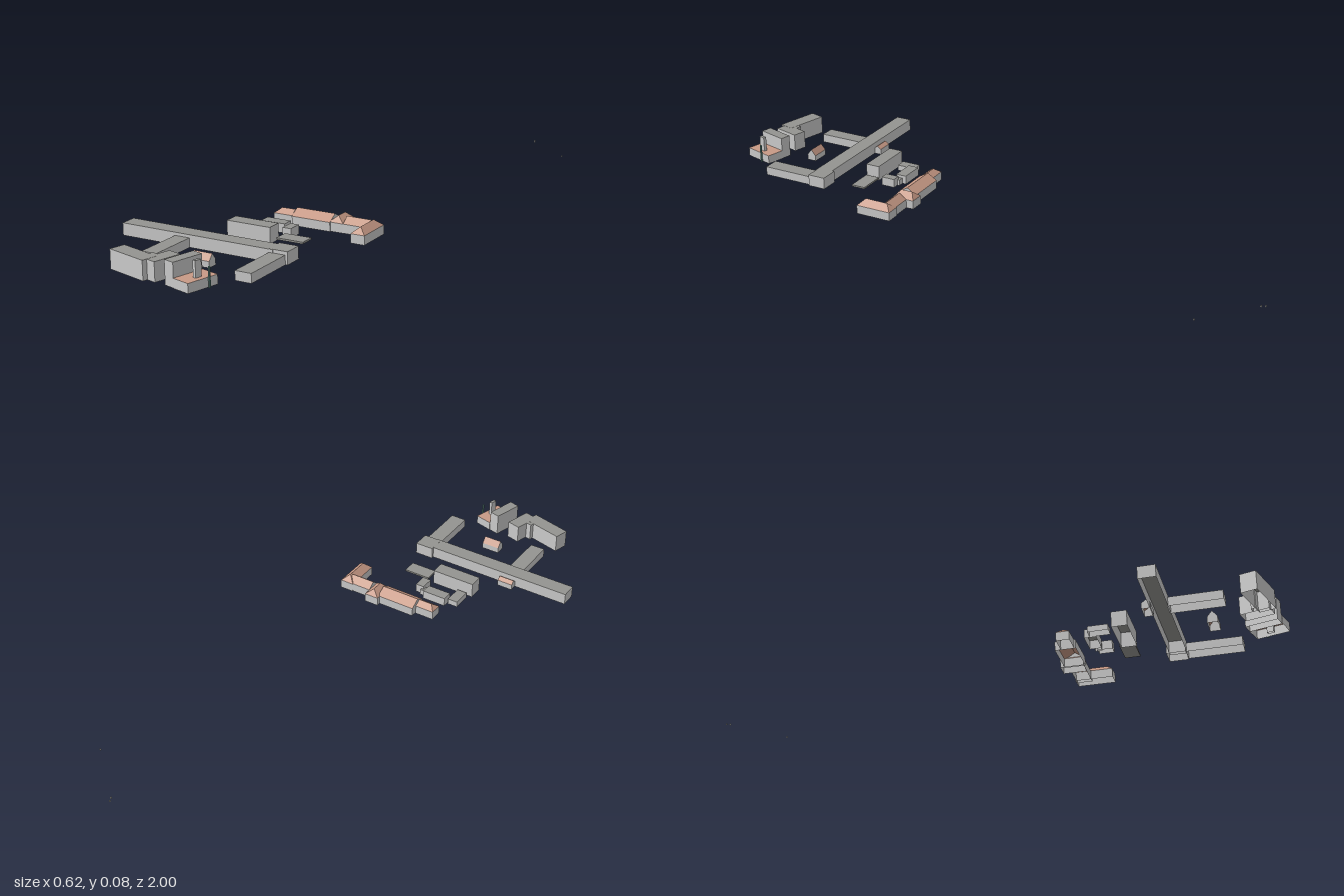
import * as THREE from 'three';

const mat = (color) => new THREE.MeshStandardMaterial({ color, flatShading: true, side: THREE.DoubleSide });
const WALL = mat(0xcccccc), FLAT = mat(0x949490), TILE = mat(0xc89a86), METAL = mat(0x6fa095);
const TURN = THREE.MathUtils.degToRad(15); // most buildings share this heading

// Mesh from convex polygons, each fanned into triangles
function polygons(name, faces, material) {
  const pos = [];
  for (const f of faces)
    for (let i = 1; i < f.length - 1; i++) pos.push(...f[0], ...f[i], ...f[i + 1]);
  const g = new THREE.BufferGeometry();
  g.setAttribute('position', new THREE.Float32BufferAttribute(pos, 3));
  g.computeVertexNormals();
  const m = new THREE.Mesh(g, material);
  m.name = name;
  return m;
}

// Footprint corners, counter-clockwise seen from above
const corners = (w, d, y) => [[-w / 2, y, d / 2], [w / 2, y, d / 2], [w / 2, y, -d / 2], [-w / 2, y, -d / 2]];

function walls(w, d, h) {
  const lo = corners(w, d, 0), hi = corners(w, d, h);
  return polygons('walls', lo.map((p, i) => [p, lo[(i + 1) % 4], hi[(i + 1) % 4], hi[i]]), WALL);
}

function place(group, name, x, z, turn, ...parts) {
  const b = new THREE.Group();
  b.name = name;
  b.position.set(x, 0, z);
  b.rotation.y = turn;
  b.add(...parts);
  group.add(b);
  return b;
}

// Open-bottomed block with a flat roof
function flatBlock(group, name, x, z, w, d, h, turn = TURN, roof = FLAT) {
  return place(group, name, x, z, turn, walls(w, d, h), polygons('roof', [corners(w, d, h)], roof));
}

// Block with a pitched roof, ridge along its local x; hipL and hipR pull in the ridge ends
function pitchedBlock(group, name, x, z, w, d, eave, ridge, hipL = 0, hipR = 0, turn = TURN) {
  const [a, b, c, e] = corners(w, d, eave);
  const l = [-w / 2 + hipL, ridge, 0], r = [w / 2 - hipR, ridge, 0];
  const roof = polygons('roof', [[a, b, r, l], [c, e, l, r]], TILE);
  const ends = [[[e, a, l], hipL], [[b, c, r], hipR]].map(([f, hip]) =>
    polygons(hip ? 'hip' : 'gable', [f], hip ? TILE : WALL));
  return place(group, name, x, z, turn, walls(w, d, eave), roof, ...ends);
}

export function createModel() {
  const g = new THREE.Group();
  g.name = 'buildingComplex';

  // Long main building with its end block and two wings
  flatBlock(g, 'mainBar', -0.045, 0.685, 0.54, 0.055, 0.04);
  flatBlock(g, 'mainBarHead', 0.23, 0.605, 0.065, 0.062, 0.0405);
  flatBlock(g, 'leftWing', 0.26, 0.724, 0.055, 0.18, 0.03);
  flatBlock(g, 'rightWing', -0.064, 0.803, 0.052, 0.17, 0.03);
  pitchedBlock(g, 'rearPorch', -0.103, 0.66, 0.055, 0.028, 0.02, 0.03);
  pitchedBlock(g, 'courtyardHouse', 0.091, 0.792, 0.063, 0.033, 0.02, 0.04);

  // Front L-shaped hall
  flatBlock(g, 'frontHall', 0.001, 0.974, 0.148, 0.052, 0.062, 0);
  flatBlock(g, 'frontHallWing', 0.084, 0.937, 0.048, 0.094, 0.0615, 0);
  flatBlock(g, 'frontHallCorner', 0.05, 0.942, 0.02, 0.016, 0.0615, 0);

  // Boiler house with tower, workshop and chimneys
  flatBlock(g, 'boilerTower', 0.1635, 0.925, 0.037, 0.105, 0.076, 0);
  flatBlock(g, 'boilerWorkshop', 0.214, 0.925, 0.063, 0.108, 0.03, 0, TILE);
  flatBlock(g, 'chimney', 0.2225, 0.925, 0.011, 0.022, 0.081, 0);
  const flue = new THREE.Mesh(new THREE.CylinderGeometry(0.0035, 0.0035, 0.062, 8), METAL);
  flue.name = 'flue';
  flue.position.set(0.25, 0.031, 0.905);
  g.add(flue);

  // Courtyard group behind the main bar
  flatBlock(g, 'middleHall', 0.009, 0.525, 0.154, 0.05, 0.052);
  flatBlock(g, 'courtRight', -0.053, 0.468, 0.036, 0.066, 0.02);
  flatBlock(g, 'courtRear', 0, 0.42, 0.084, 0.038, 0.03);
  flatBlock(g, 'courtLink', 0.05, 0.413, 0.024, 0.022, 0.02);
  flatBlock(g, 'courtLeft', 0.074, 0.428, 0.03, 0.048, 0.03);
  const canopy = new THREE.Mesh(new THREE.BoxGeometry(0.093, 0.006, 0.05), FLAT);
  canopy.name = 'canopyRoof';
  canopy.position.y = 0.017;
  place(g, 'canopy', 0.142, 0.48, TURN, canopy);

  // Rear range with tiled roofs
  pitchedBlock(g, 'rearEnd', -0.037, 0.34, 0.066, 0.043, 0.03, 0.045, 0.018, 0);
  pitchedBlock(g, 'rearRange', 0.061, 0.306, 0.137, 0.068, 0.03, 0.05);
  pitchedBlock(g, 'rearCrossGable', 0.143, 0.274, 0.077, 0.05, 0.03, 0.05, 0.018, 0.018, TURN + Math.PI / 2);
  pitchedBlock(g, 'rearLink', 0.211, 0.269, 0.085, 0.05, 0.03, 0.0495);
  pitchedBlock(g, 'rearWing', 0.266, 0.29, 0.125, 0.048, 0.03, 0.05, 0.022, 0.022, TURN + Math.PI / 2);

  // Tiny far-off boundary posts
  for (const [x, z] of [[-0.087, -0.998], [-0.078, -0.988], [0.12, -0.89]])
    flatBlock(g, 'boundaryPost', x, z, 0.004, 0.004, 0.005, 0);

  return g;
}
